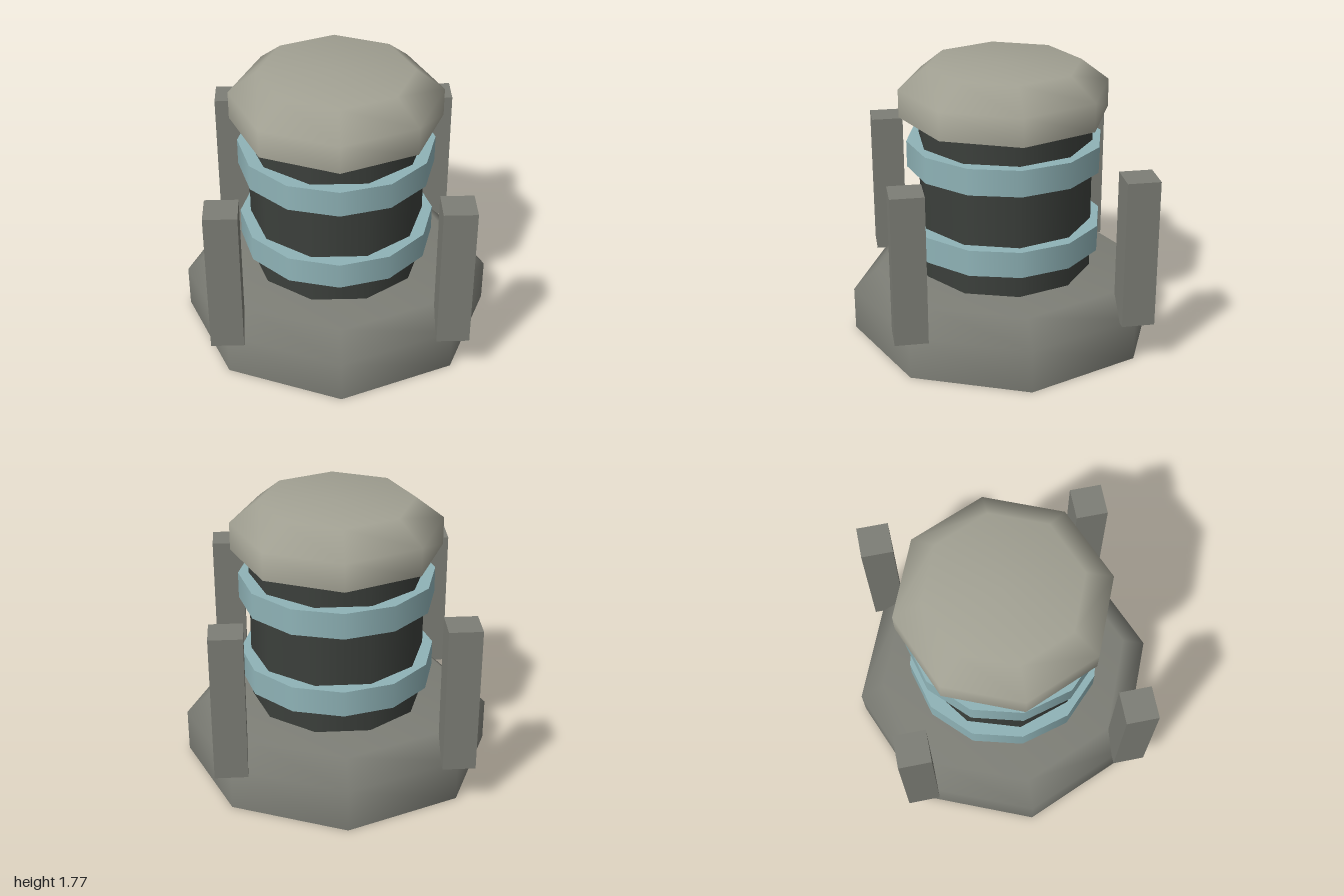
import * as THREE from 'three';

const paint = (color) => new THREE.MeshStandardMaterial({ color });
const stone = paint(0x7d7e76);
const pale = paint(0xa3a294);
const dark = paint(0x3c403c);
const blue = paint(0x8fb3b7);

function add(parent, name, geometry, material, x = 0, y = 0, z = 0) {
  const mesh = new THREE.Mesh(geometry, material);
  mesh.name = name;
  mesh.position.set(x, y, z);
  parent.add(mesh);
  return mesh;
}

// Smooth eight-sided bevelled block with a flat underside
function bevelledBlock(name, radius, bottom, shoulder, topRadius, top, material) {
  const group = new THREE.Group();
  group.name = name;
  const profile = [[radius, bottom], [radius, shoulder], [topRadius, top], [0, top]]
    .map(([r, y]) => new THREE.Vector2(r, y));
  add(group, name + 'Shell', new THREE.LatheGeometry(profile, 8), material);
  const under = add(group, name + 'Underside', new THREE.CircleGeometry(radius, 8), material, 0, bottom, 0);
  under.rotation.x = Math.PI / 2;
  return group;
}

export function createModel() {
  const model = new THREE.Group();
  model.name = 'pylon';

  // Wide base and domed cap
  model.add(bevelledBlock('base', 1, 0, 0.28, 0.84, 0.42, stone));
  model.add(bevelledBlock('cap', 0.67, 1.45, 1.63, 0.49, 1.77, pale));

  // Ten-sided column, with a corner on each side
  const column = add(model, 'column', new THREE.CylinderGeometry(0.56, 0.56, 1.11, 10), dark, 0, 0.935, 0);
  column.rotation.y = Math.PI / 2;

  // Two bands around the column
  for (const [name, y] of [['lowerBand', 0.67], ['upperBand', 1.205]]) {
    add(model, name, new THREE.CylinderGeometry(0.627, 0.627, 0.17, 12), blue, 0, y, 0);
  }

  // Four square posts at the corners
  const post = new THREE.BoxGeometry(0.205, 0.95, 0.205);
  for (const x of [-1, 1]) {
    for (const z of [-1, 1]) {
      const name = (z > 0 ? 'front' : 'back') + (x > 0 ? 'Left' : 'Right') + 'Post';
      add(model, name, post, stone, x * 0.7, 0.76, z * 0.7);
    }
  }
  return model;
}
